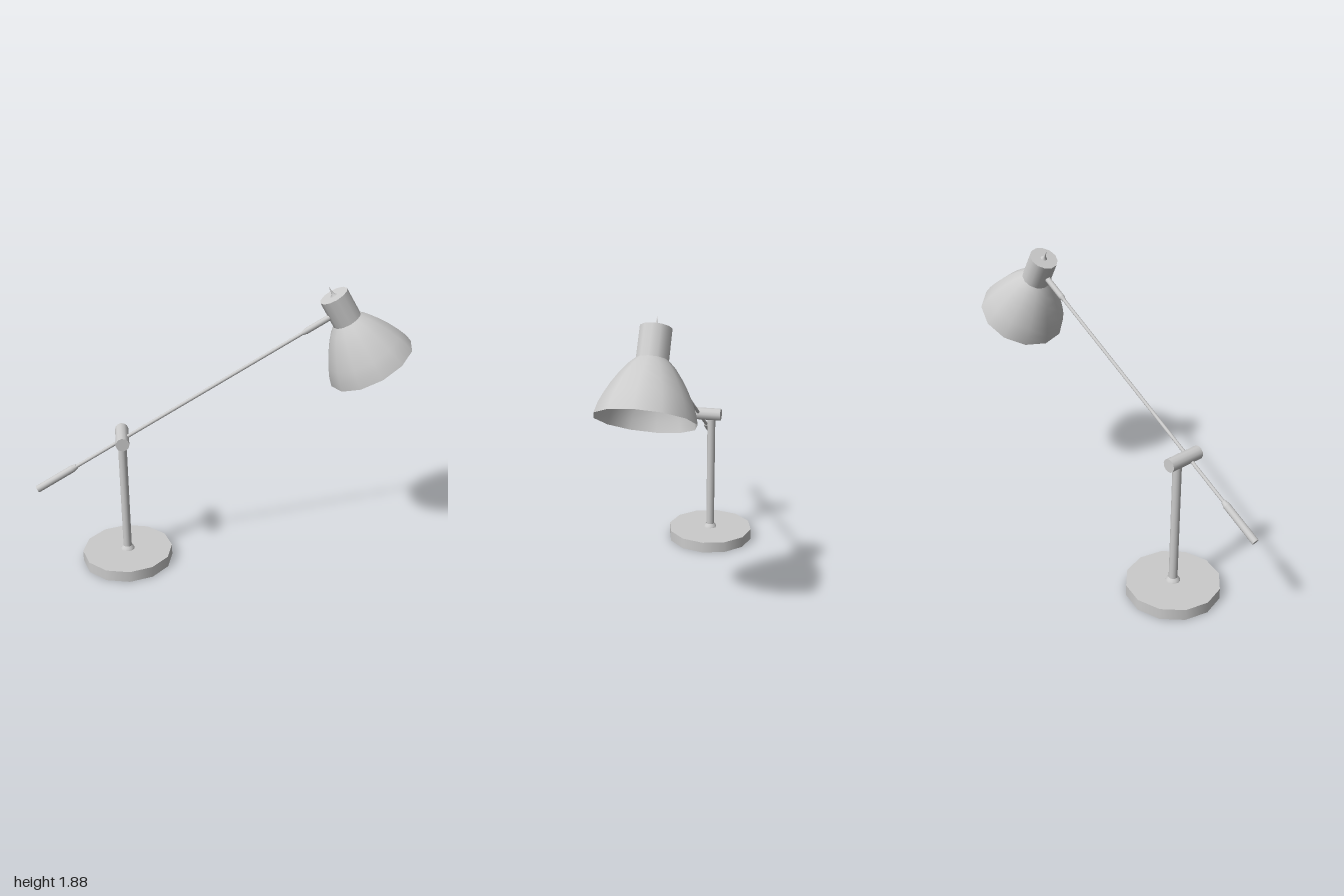
import * as THREE from 'three';

const SIDES = 12;
const material = new THREE.MeshStandardMaterial({ color: 0xcccccc, side: THREE.DoubleSide });
const v = (x, y, z) => new THREE.Vector3(x, y, z);

function add(parent, name, geometry) {
  const mesh = new THREE.Mesh(geometry, material);
  mesh.name = name;
  parent.add(mesh);
  return mesh;
}

// Round bar from a to b, radius ra at a and rb at b
function bar(parent, name, a, b, ra, rb = ra) {
  const dir = b.clone().sub(a);
  const mesh = add(parent, name, new THREE.CylinderGeometry(rb, ra, dir.length(), SIDES));
  mesh.position.copy(a).addScaledVector(dir, 0.5);
  mesh.quaternion.setFromUnitVectors(v(0, 1, 0), dir.normalize());
  return mesh;
}

function lathe(parent, name, points) {
  return add(parent, name, new THREE.LatheGeometry(points.map(([r, y]) => new THREE.Vector2(r, y)), SIDES));
}

export function createModel() {
  const lamp = new THREE.Group();
  lamp.name = 'deskLamp';

  // Hollow base, open underneath, with the post fixed through its top
  const stand = new THREE.Group();
  stand.name = 'stand';
  stand.position.set(-0.49, 0, -0.494);
  lamp.add(stand);
  const turn = THREE.MathUtils.degToRad(-6.4);
  add(stand, 'baseWall', new THREE.CylinderGeometry(0.3, 0.3, 0.075, SIDES, 1, true, turn)).position.y = 0.0375;
  const top = add(stand, 'baseTop', new THREE.CircleGeometry(0.3, SIDES, turn - Math.PI / 2));
  top.rotation.x = -Math.PI / 2;
  top.position.y = 0.075;
  bar(stand, 'post', v(0, 0.06, 0), v(0, 0.91, 0), 0.028);
  lathe(stand, 'postCollar', [[0.046, 0.075], [0.042, 0.085], [0.029, 0.1]]);
  lathe(stand, 'postNut', [[0.03, 0.06], [0.04, 0.065], [0.04, 0.075]]);

  // Cross joint on top of the post
  bar(lamp, 'crossJoint', v(-0.448, 0.932, -0.547), v(-0.592, 0.932, -0.355), 0.043);

  // Slanted arm: every part lies on one line, placed by its x
  const onArm = (x) => v(x, 0.934 + 0.714 * (x + 0.54), -0.42 + 0.74 * (x + 0.54));
  bar(lamp, 'arm', onArm(-0.8), onArm(0.4), 0.011);
  bar(lamp, 'counterweight', onArm(-0.985), onArm(-0.8), 0.023);
  bar(lamp, 'counterweightTip', onArm(-0.8), onArm(-0.78), 0.023, 0.015);
  bar(lamp, 'armSleeveTaper', onArm(0.37), onArm(0.39), 0.012, 0.019);
  bar(lamp, 'armSleeve', onArm(0.39), onArm(0.51), 0.019);

  // Lamp head: local origin at the cap, local -y towards the opening
  const head = new THREE.Group();
  head.name = 'lampHead';
  const up = v(-0.4, 0.866, -0.3).normalize();
  const front = v(0.693, 0.5, 0.52).normalize();
  head.quaternion.setFromRotationMatrix(
    new THREE.Matrix4().makeBasis(up.clone().cross(front), up, front));
  head.position.set(0.526, 1.815, 0.36);
  lamp.add(head);
  add(head, 'neck', new THREE.CylinderGeometry(0.092, 0.093, 0.183, SIDES, 1, true)).position.y = -0.0915;
  const cap = add(head, 'neckCap', new THREE.CircleGeometry(0.092, SIDES));
  cap.rotation.x = -Math.PI / 2;
  lathe(head, 'shade', [
    [0.286, -0.523], [0.271, -0.465], [0.248, -0.41], [0.215, -0.345],
    [0.177, -0.283], [0.135, -0.225], [0.093, -0.183],
  ]);
  // Thin cable stub rising from a flared grommet
  lathe(head, 'cableStub', [[0.021, 0], [0.01, 0.012], [0.005, 0.03], [0, 0.07]]);

  return lamp;
}
